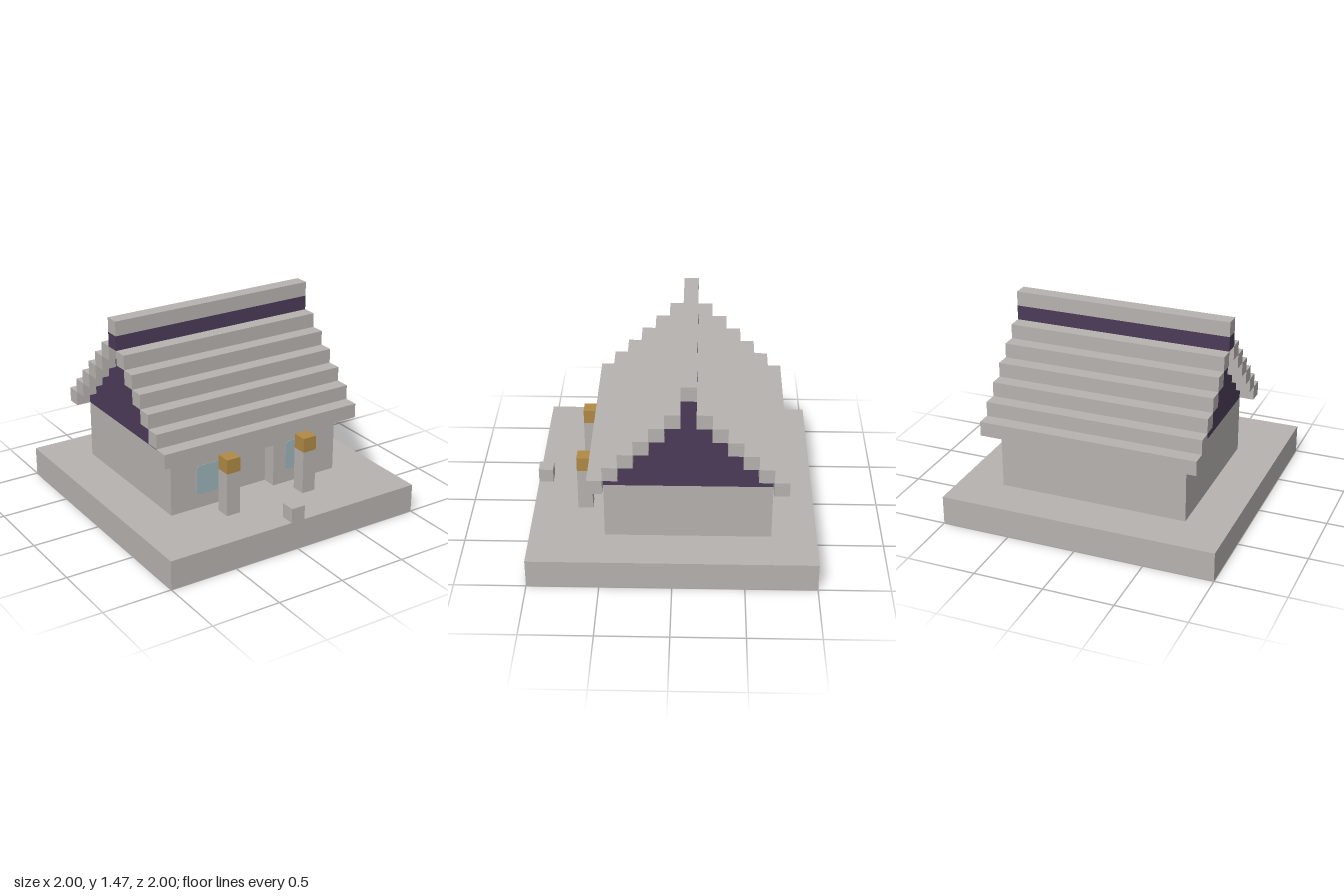
import * as THREE from 'three';

const U = 2 / 19; // one block

export function createModel() {
  const house = new THREE.Group();
  house.name = 'blockHouse';

  const mat = (name, color) => {
    const m = new THREE.MeshStandardMaterial({ color });
    m.name = name;
    return m;
  };
  const stone = mat('stone grey', 0xb6b2af);
  const purple = mat('dark purple', 0x4b3b58);
  const gold = mat('gold', 0xb08a45);
  const glass = mat('window blue', 0x9db4b9);

  const add = (name, geometry, material) => {
    geometry.scale(U, U, U);
    const mesh = new THREE.Mesh(geometry, material);
    mesh.name = name;
    house.add(mesh);
    return mesh;
  };
  // box given by its limits, in blocks
  const box = (name, material, x0, x1, y0, y1, z0, z1) =>
    add(name, new THREE.BoxGeometry(x1 - x0, y1 - y0, z1 - z0)
      .translate((x0 + x1) / 2, (y0 + y1) / 2, (z0 + z1) / 2), material);
  const outline = (points) => new THREE.Shape(points.map(([x, y]) => new THREE.Vector2(x, y)));

  // ground slab and small stone at its front edge
  box('base', stone, -9.5, 9.5, 0, 2, -9.5, 9.5);
  box('frontBlock', stone, -0.5, 0.5, 2, 3, 8.5, 9.5);

  // walls, with a front layer that leaves the doorway recessed
  box('walls', stone, -6.5, 6.5, 2, 6, -6.5, 3.5);
  const front = outline([[-6.5, 2], [-1.5, 2], [-1.5, 5], [1.5, 5], [1.5, 2], [6.5, 2], [6.5, 6], [-6.5, 6]]);
  add('frontWall', new THREE.ExtrudeGeometry(front, { depth: 1, bevelEnabled: false })
    .translate(0, 0, 3.5), stone);

  for (const side of [-1, 1]) {
    // porch pillars with gold caps
    const x = side * 3;
    box('pillar', stone, x - 0.5, x + 0.5, 2, 5, 5.5, 6.5);
    box('pillarCap', gold, x - 0.5, x + 0.5, 5, 6, 5.5, 6.5);

    // rounded window plates
    const h = 1.04, r = 0.3, pane = new THREE.Shape();
    pane.absarc(h - r, h - r, r, 0, Math.PI / 2);
    pane.absarc(r - h, h - r, r, Math.PI / 2, Math.PI);
    pane.absarc(r - h, r - h, r, Math.PI, Math.PI * 1.5);
    pane.absarc(h - r, r - h, r, Math.PI * 1.5, Math.PI * 2);
    add('window', new THREE.ExtrudeGeometry(pane, { depth: 0.03, bevelEnabled: false, curveSegments: 6 })
      .translate(side * 3.52, 4, 4.5), glass);
  }

  // stepped purple gable body, recessed one block under the roof ends
  const right = [], left = [];
  for (let i = 0; i < 6; i++) {
    right.push([5.5 - i, 6 + i], [5.5 - i, 7 + i]);
    left.unshift([i - 5.5, 7 + i], [i - 5.5, 6 + i]);
  }
  add('gable', new THREE.ExtrudeGeometry(outline([...right, ...left]), { depth: 13, bevelEnabled: false })
    .translate(0, 0, -6.5).rotateY(Math.PI / 2).translate(0, 0, -1), purple);

  // stair-like roof courses on both slopes
  for (let i = 0; i < 6; i++) {
    box('roofCourseFront', stone, -7.5, 7.5, 6 + i, 7 + i, 4.5 - i, 5.5 - i);
    box('roofCourseBack', stone, -7.5, 7.5, 6 + i, 7 + i, -7.5 + i, -6.5 + i);
  }

  // ridge beam
  box('ridgeBand', purple, -7.5, 7.5, 12, 13, -1.5, -0.5);
  box('ridgeCap', stone, -7.5, 7.5, 13, 14, -1.5, -0.5);

  return house;
}
